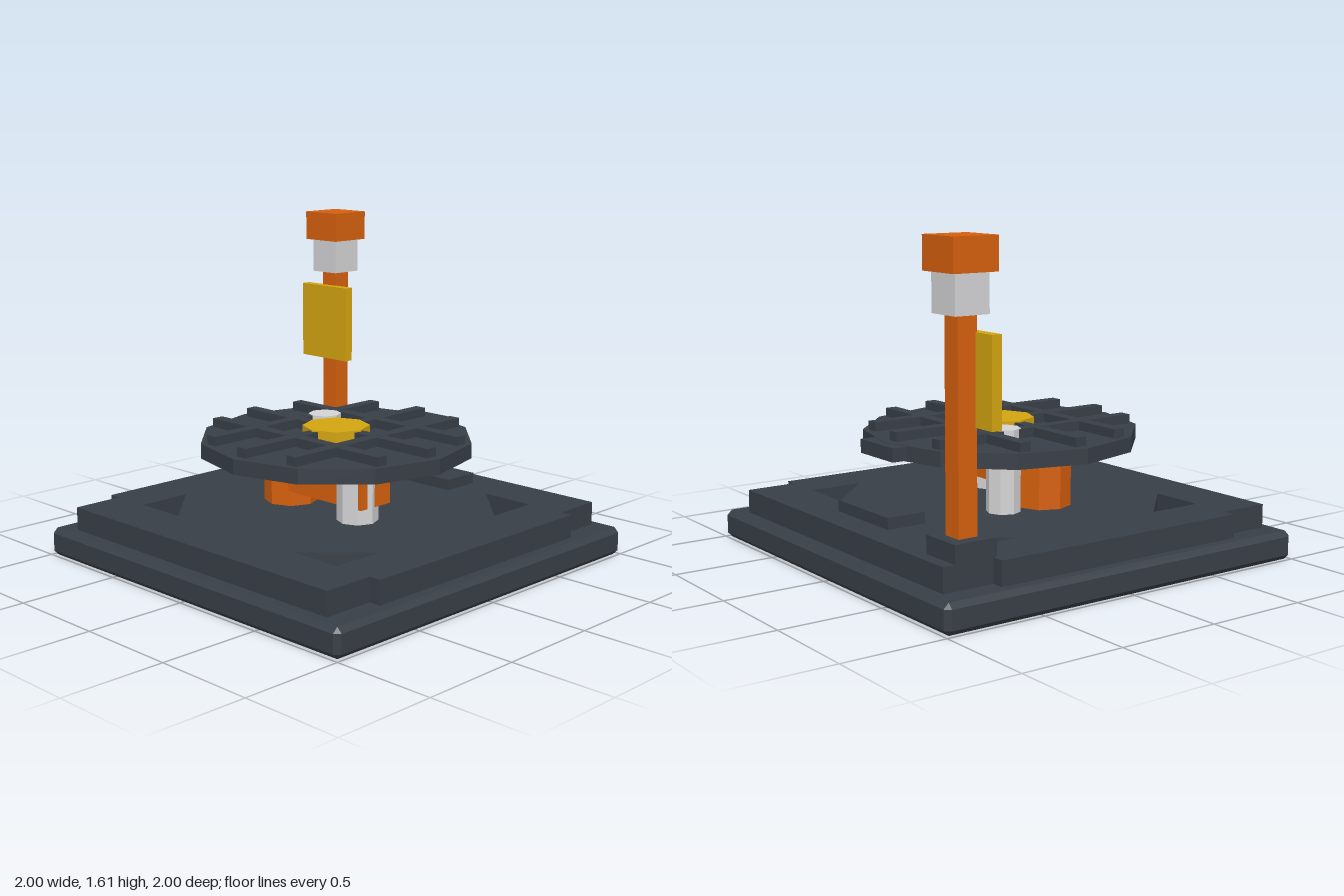
import * as THREE from 'three';
import { ConvexGeometry } from 'three/addons/geometries/ConvexGeometry.js';

const material = (name, color) => {
  const m = new THREE.MeshStandardMaterial({ color });
  m.name = name;
  return m;
};

export function createModel() {
  const model = new THREE.Group();
  model.name = 'turntableMachine';
  const dark = material('darkSteel', 0x383f46);
  const orange = material('orange', 0xd6600e);
  const gold = material('gold', 0xd4a510);
  const silver = material('silver', 0xd4d4d6);

  const add = (name, geometry, mat, parent = model) => {
    const mesh = new THREE.Mesh(geometry, mat);
    mesh.name = name;
    parent.add(mesh);
    return mesh;
  };
  // Box given by its limits on each axis
  const box = (name, mat, [x0, x1], [y0, y1], [z0, z1], parent) =>
    add(name, new THREE.BoxGeometry(x1 - x0, y1 - y0, z1 - z0), mat, parent)
      .position.set((x0 + x1) / 2, (y0 + y1) / 2, (z0 + z1) / 2);
  // Faceted upright prism
  const prism = (name, mat, x, z, r, y0, y1, sides = 8, parent = model) => {
    const g = new THREE.CylinderGeometry(r, r, y1 - y0, sides).toNonIndexed();
    g.computeVertexNormals();
    add(name, g, mat, parent).position.set(x, (y0 + y1) / 2, z);
  };

  // Base slab with every edge chamfered
  const corners = [];
  const c = 0.025, h = 0.07;
  for (const sx of [-1, 1]) for (const sy of [-1, 1]) for (const sz of [-1, 1]) {
    corners.push(
      new THREE.Vector3(sx, sy * (h - c), sz * (1 - c)),
      new THREE.Vector3(sx * (1 - c), sy * h, sz * (1 - c)),
      new THREE.Vector3(sx * (1 - c), sy * (h - c), sz));
  }
  add('baseSlab', new ConvexGeometry(corners), dark).position.y = h;

  // Upper plate: notched corners and four triangular pockets
  const a = 0.93, b = 0.87, n = 0.675;
  const plate = new THREE.Shape([
    [b, -a], [b, -n], [a, -n], [a, n], [b, n], [b, a],
    [-b, a], [-b, n], [-a, n], [-a, -n], [-b, -n], [-b, -a],
  ].map(([x, y]) => new THREE.Vector2(x, y)));
  for (const sx of [-1, 1]) for (const sy of [-1, 1]) {
    plate.holes.push(new THREE.Path([[n, n], [0.4, n], [n, 0.4]]
      .map(([x, y]) => new THREE.Vector2(sx * x, sy * y))));
  }
  const plateGeometry = new THREE.ExtrudeGeometry(plate, { depth: 0.115, bevelEnabled: false });
  plateGeometry.rotateX(-Math.PI / 2);
  add('upperPlate', plateGeometry, dark).position.y = 0.14;
  box('rearBlock', dark, [-0.22, 0.22], [0.255, 0.31], [-0.79, -0.59]);

  // Drive under the table
  const drive = new THREE.Group();
  drive.name = 'drive';
  model.add(drive);
  prism('motor', orange, -0.235, 0.08, 0.135, 0.255, 0.52, 8, drive);
  box('linkArm', orange, [-0.235, 0.342], [0.33, 0.49], [-0.02, 0.18], drive);
  prism('driveHub', gold, 0.03, 0.08, 0.135, 0.49, 0.535, 8, drive);
  prism('frontPost', silver, 0.252, 0.11, 0.1, 0.255, 0.535, 8, drive);
  prism('rearPost', silver, -0.24, -0.16, 0.083, 0.255, 0.656, 8, drive);

  // Round table with a grid of ribs
  const table = new THREE.Group();
  table.name = 'table';
  model.add(table);
  prism('tableDisc', dark, 0, 0, 0.67, 0.535, 0.608, 12, table);
  for (const p of [-0.275, 0, 0.275]) {
    const len = p === 0 ? 0.62 : 0.565;
    box('ribAlong', dark, [p - 0.03, p + 0.03], [0.608, 0.653], [-len, len], table);
    box('ribAcross', dark, [-len, len], [0.608, 0.652], [p - 0.03, p + 0.03], table);
  }
  box('tableTab', dark, [-0.14, 0.14], [0.54, 0.606], [-0.71, -0.6], table);
  prism('centreCap', gold, 0, 0, 0.165, 0.608, 0.66, 8, table);

  // Signal mast in the rear corner
  const mast = new THREE.Group();
  mast.name = 'mast';
  model.add(mast);
  const m = -0.765;
  const column = (name, mat, half, y0, y1) =>
    box(name, mat, [m - half, m + half], [y0, y1], [m - half, m + half], mast);
  column('mastFoot', dark, 0.107, 0.255, 0.34);
  column('mastPole', orange, 0.048, 0.34, 1.28);
  column('mastLamp', silver, 0.086, 1.28, 1.455);
  column('mastCap', orange, 0.113, 1.455, 1.605);
  box('signPanel', gold, [-0.93, -0.6], [0.805, 1.205], [-0.725, -0.675], mast);

  return model;
}
